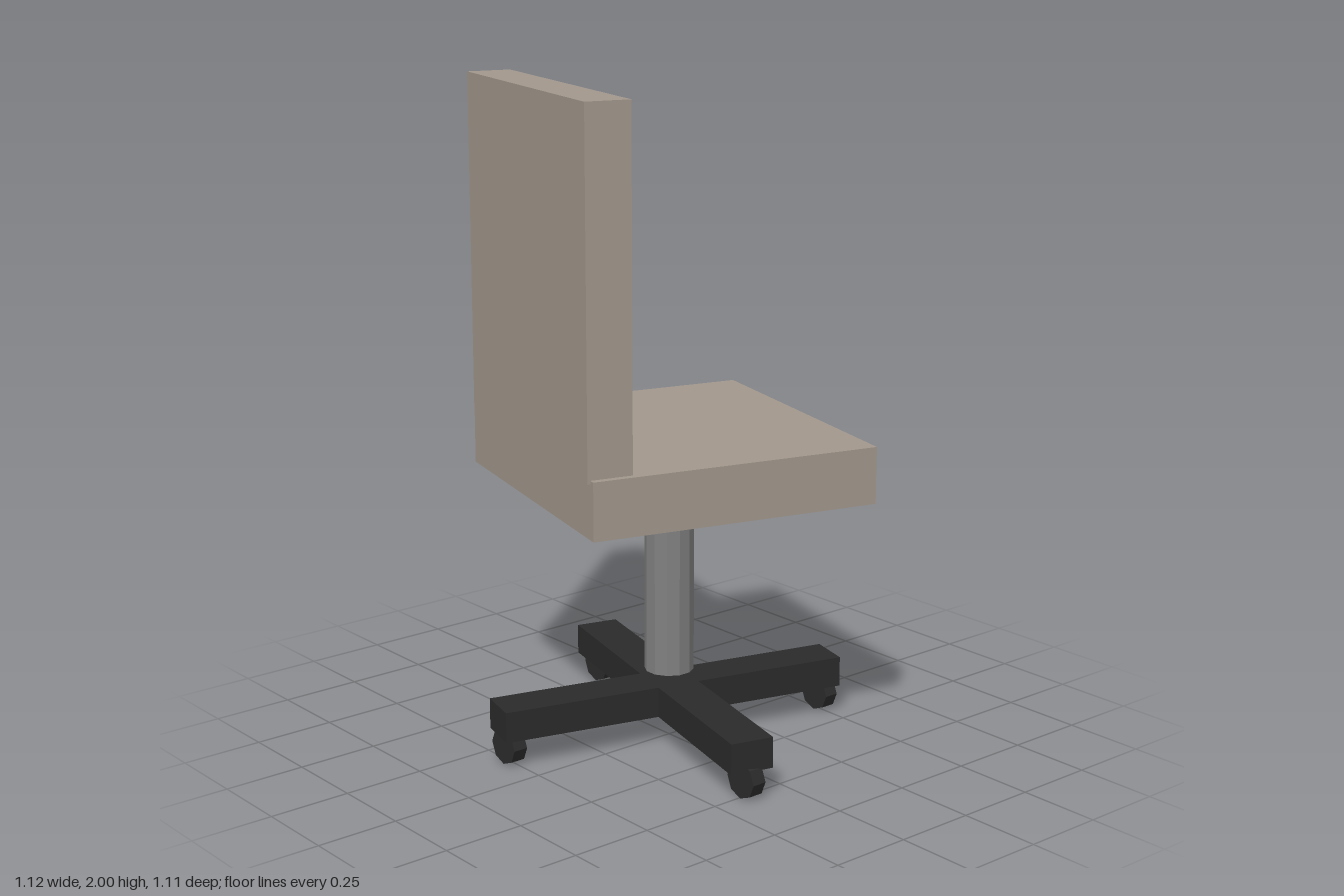
import * as THREE from 'three';

const material = (color) => new THREE.MeshStandardMaterial({ color, flatShading: true });

export function createModel() {
  const fabric = material(0xa3988d);
  const metal = material(0x808080);
  const black = material(0x2b2b2b);

  const model = new THREE.Group();
  model.name = 'officeChair';

  // Everything except the casters is turned about the vertical axis
  const turn = THREE.MathUtils.degToRad(-15);
  const body = new THREE.Group();
  body.name = 'chairBody';
  body.rotation.y = turn;
  model.add(body);

  const add = (parent, name, geometry, mat, x, y, z) => {
    const mesh = new THREE.Mesh(geometry, mat);
    mesh.name = name;
    mesh.position.set(x, y, z);
    parent.add(mesh);
    return mesh;
  };
  const box = (name, w, d, y0, y1, z, mat) =>
    add(body, name, new THREE.BoxGeometry(w, y1 - y0, d), mat, 0, (y0 + y1) / 2, z);

  // Seat, backrest and the small support bracket between them
  box('seat', 0.922, 0.885, 0.803, 0.973, 0, fabric);
  box('backrest', 0.882, 0.135, 0.963, 2, 0.383, fabric);
  box('backBracket', 0.155, 0.048, 0.965, 1.175, 0.293, black);

  // Central post
  add(body, 'post', new THREE.CylinderGeometry(0.075, 0.075, 0.587, 12), metal, 0, 0.5095, 0);

  // Crossed base bars
  box('baseBarSide', 1.116, 0.133, 0.09, 0.184, 0, black);
  box('baseBarFront', 0.133, 1.116, 0.09, 0.184, 0, black);

  // Casters under the bar ends, all rolling along x
  const wheel = new THREE.CylinderGeometry(0.056, 0.056, 0.046, 8).rotateX(Math.PI / 2);
  for (let i = 0; i < 4; i++) {
    const a = -turn + (i * Math.PI) / 2;
    add(model, 'caster', wheel, black, 0.523 * Math.cos(a), 0.056, 0.523 * Math.sin(a));
  }
  return model;
}
